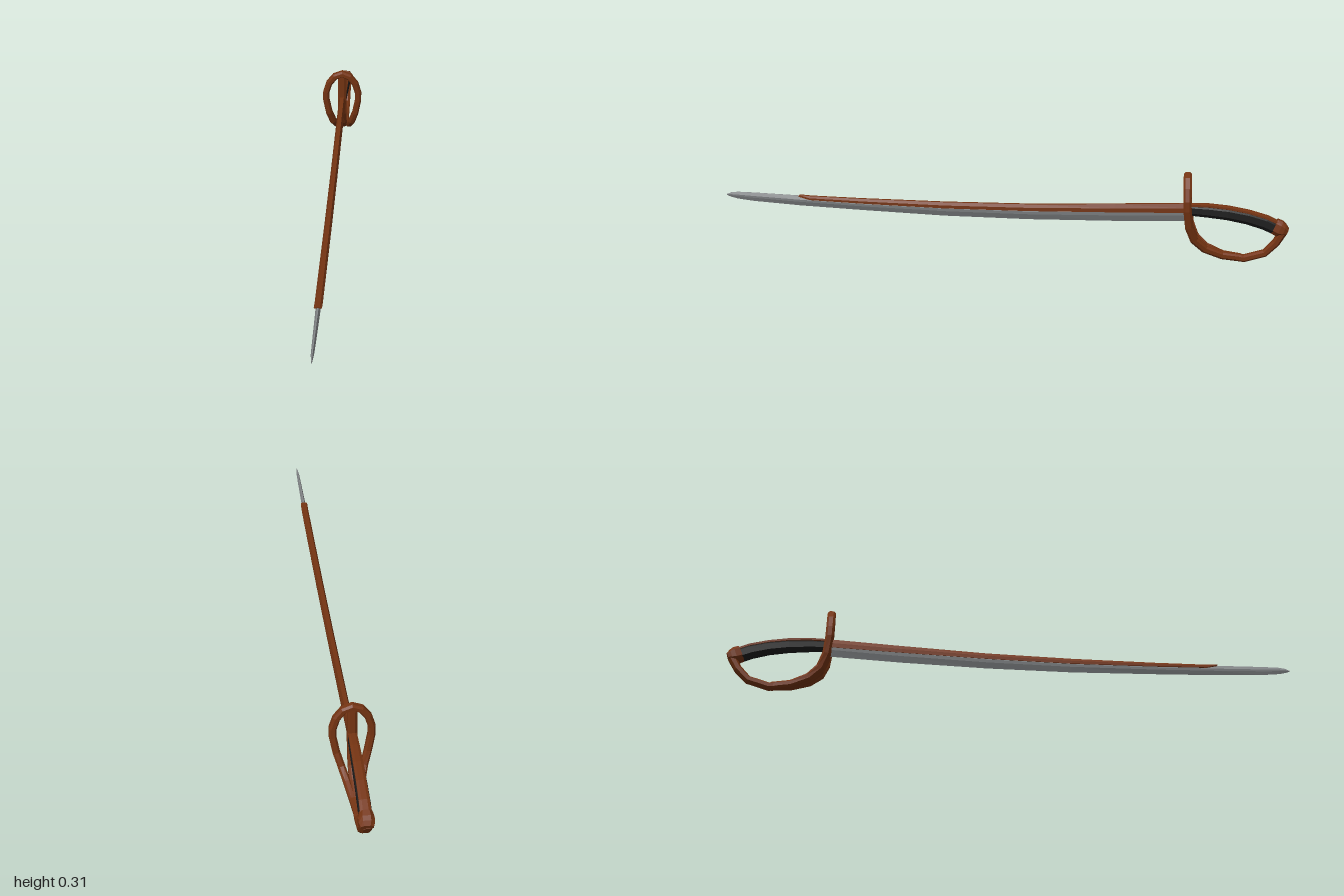
import * as THREE from 'three';

const V = (x, y, z) => new THREE.Vector3(x, y, z);
const mat = (color) => new THREE.MeshStandardMaterial({ color, flatShading: true, roughness: 0.8 });

// Closed, capped skin through a list of equal-length cross-sections
function loft(rings) {
  const n = rings[0].length;
  const tris = [];
  for (let i = 0; i < rings.length - 1; i++) {
    for (let j = 0; j < n; j++) {
      const k = (j + 1) % n;
      const [a, b, c, d] = [rings[i][j], rings[i][k], rings[i + 1][k], rings[i + 1][j]];
      tris.push([a, b, c], [a, c, d]);
    }
  }
  const last = rings[rings.length - 1];
  for (let j = 1; j < n - 1; j++) {
    tris.push([rings[0][0], rings[0][j + 1], rings[0][j]], [last[0], last[j], last[j + 1]]);
  }
  // Turn the skin outward if its signed volume is negative
  const volume = tris.reduce((s, [a, b, c]) => s + a.dot(b.clone().cross(c)), 0);
  if (volume < 0) tris.forEach((t) => t.reverse());
  const geo = new THREE.BufferGeometry().setFromPoints(tris.flat());
  geo.computeVertexNormals();
  return geo;
}

// Eight-sided bar along rows of [x, y, z, half width, half depth, optional tilt of the depth axis]
function bar(rows) {
  const pts = rows.map((r) => V(r[0], r[1], r[2]));
  return loft(rows.map(([, , , w, d, tilt], i) => {
    const t = pts[Math.min(i + 1, pts.length - 1)].clone().sub(pts[Math.max(i - 1, 0)]).normalize();
    const depth = tilt === undefined
      ? V(0, t.z, -t.y).normalize()
      : V(0, -Math.sin(tilt), Math.cos(tilt));
    const width = depth.clone().cross(t).normalize();
    const c = 0.5;
    return [[1, c], [c, 1], [-c, 1], [-1, c], [-1, -c], [-c, -1], [c, -1], [1, -c]].map(([u, v]) =>
      pts[i].clone().addScaledVector(width, u * w).addScaledVector(depth, v * d));
  }));
}

export function createModel() {
  const model = new THREE.Group();
  const brown = mat(0x753412);
  const black = mat(0x1c1c1c);
  const steel = mat(0x85888a);
  const add = (name, geo, material) => {
    const mesh = new THREE.Mesh(geo, material);
    mesh.name = name;
    model.add(mesh);
  };

  // Blade: [z, spine height, edge height, half thickness]
  const blade = [
    [-0.66, 0.197, 0.142, 0.011], [-0.4, 0.187, 0.134, 0.011], [-0.1, 0.179, 0.13, 0.011],
    [0.2, 0.178, 0.133, 0.01], [0.5, 0.182, 0.144, 0.009], [0.73, 0.19, 0.154, 0.008],
    [0.9, 0.196, 0.165, 0.006], [0.96, 0.197, 0.172, 0.005], [0.985, 0.194, 0.178, 0.003],
    [1, 0.188, 0.184, 0.001],
  ];
  add('blade', loft(blade.map(([z, top, low, w]) => {
    const h = top - low;
    return [V(-w * 0.3, top, z), V(-w, low + h * 0.62, z), V(-w * 0.8, low + h * 0.4, z), V(0, low, z),
      V(w * 0.8, low + h * 0.4, z), V(w, low + h * 0.62, z), V(w * 0.3, top, z)];
  })), steel);

  // Brown spine wrapped over the back of the blade: [z, top, bottom]
  const spine = [
    [-0.66, 0.205, 0.173], [-0.4, 0.195, 0.167], [-0.1, 0.185, 0.162],
    [0.2, 0.183, 0.162], [0.5, 0.186, 0.17], [0.69, 0.19, 0.177], [0.73, 0.193, 0.188],
  ];
  add('bladeSpine', loft(spine.map(([z, top, low]) => [
    V(-0.007, top, z), V(-0.0125, (top + low) / 2, z), V(-0.0125, low, z),
    V(0.0125, low, z), V(0.0125, (top + low) / 2, z), V(0.007, top, z),
  ])), brown);

  // Oval guard whose lower ends sweep back into the knuckle bow
  const half = [
    [0.028, 0.291, -0.65, 0.012, 0.014, 0], [0.05, 0.262, -0.651, 0.012, 0.014, 0],
    [0.062, 0.222, -0.652, 0.012, 0.014, 0], [0.062, 0.19, -0.653, 0.012, 0.014, 0],
    [0.051, 0.13, -0.66, 0.012, 0.014, 0.2], [0.037, 0.084, -0.678, 0.012, 0.014, 0.5],
    [0.024, 0.05, -0.715, 0.012, 0.013, 0.9], [0.012, 0.026, -0.775, 0.012, 0.012, 1.3],
    [0.005, 0.018, -0.84, 0.012, 0.012, 1.55],
  ];
  const mirrored = half.map(([x, ...rest]) => [-x, ...rest]).reverse();
  add('guardRing', bar([...mirrored, [0, 0.302, -0.65, 0.013, 0.014, 0], ...half]), brown);

  // Centre bar of the guard, continuing as the knuckle bow to the pommel
  add('knuckleBow', bar([
    [0, 0.305, -0.65, 0.016, 0.011], [0, 0.19, -0.653, 0.016, 0.013], [0, 0.13, -0.66, 0.016, 0.013],
    [0, 0.084, -0.678, 0.016, 0.013], [0, 0.05, -0.715, 0.016, 0.013], [0, 0.026, -0.775, 0.017, 0.013],
    [0, 0.016, -0.85, 0.018, 0.012], [0, 0.037, -0.92, 0.018, 0.012], [0, 0.075, -0.957, 0.019, 0.013],
    [0, 0.115, -0.98, 0.02, 0.014],
  ]), brown);

  // Curved grip with a brown strap along its back
  add('grip', bar([
    [0, 0.181, -0.655, 0.014, 0.018], [0, 0.178, -0.72, 0.016, 0.02], [0, 0.172, -0.79, 0.018, 0.021],
    [0, 0.16, -0.86, 0.019, 0.022], [0, 0.143, -0.92, 0.02, 0.023], [0, 0.123, -0.965, 0.02, 0.023],
  ]), black);
  add('backStrap', bar([
    [0, 0.199, -0.655, 0.014, 0.006], [0, 0.199, -0.72, 0.015, 0.007], [0, 0.193, -0.79, 0.016, 0.007],
    [0, 0.181, -0.86, 0.016, 0.007], [0, 0.163, -0.925, 0.017, 0.007], [0, 0.14, -0.975, 0.018, 0.007],
  ]), brown);

  // Pommel cap joining grip, strap and bow
  add('pommel', bar([
    [0, 0.134, -0.95, 0.021, 0.027], [0, 0.126, -0.968, 0.025, 0.028],
    [0, 0.121, -0.982, 0.025, 0.022], [0, 0.116, -0.994, 0.02, 0.013],
  ]), brown);

  return model;
}
